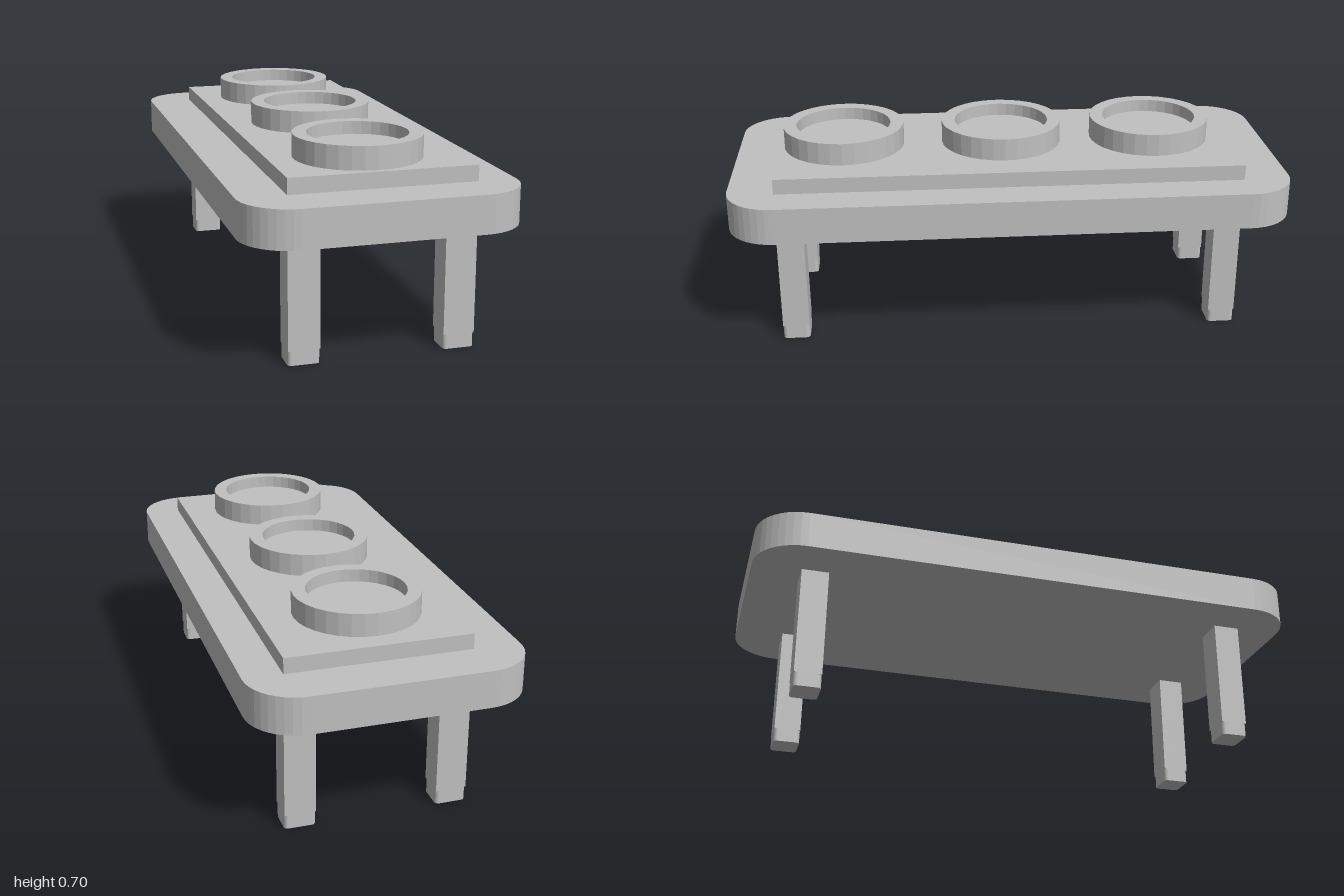
import * as THREE from 'three';

const grey = new THREE.MeshStandardMaterial({ color: 0xc0c0c0, flatShading: true });
grey.name = 'plain grey';

function add(parent, geometry, name, x, y, z) {
  const mesh = new THREE.Mesh(geometry, grey);
  mesh.name = name;
  mesh.position.set(x, y, z);
  parent.add(mesh);
  return mesh;
}

// Upright slab with rounded corners in plan, standing on y = 0
function roundedSlab(width, depth, height, r, segments) {
  const x = width / 2, z = depth / 2, q = Math.PI / 2;
  const shape = new THREE.Shape();
  shape.absarc(x - r, z - r, r, 0, q);
  shape.absarc(r - x, z - r, r, q, 2 * q);
  shape.absarc(r - x, r - z, r, 2 * q, 3 * q);
  shape.absarc(x - r, r - z, r, 3 * q, 4 * q);
  shape.closePath();
  return new THREE.ExtrudeGeometry(shape, { depth: height, bevelEnabled: false, curveSegments: segments })
    .rotateX(-Math.PI / 2);
}

export function createModel() {
  const model = new THREE.Group();
  model.name = 'table';

  // Rounded top and the raised panel, which sits slightly off centre
  add(model, roundedSlab(0.94, 2, 0.13, 0.17, 5), 'tableTop', 0, 0.44, 0);
  add(model, new THREE.BoxGeometry(0.642, 0.055, 1.666), 'raisedPanel', 0.016, 0.5975, 0.002);

  // Three round cups: wall, rim and recessed floor in one profile
  const profile = [[0.22, 0], [0.22, 0.08], [0.172, 0.08], [0.172, 0.035], [0, 0.035]]
    .map(([r, y]) => new THREE.Vector2(r, y));
  const cup = new THREE.LatheGeometry(profile, 32);
  [-0.538, 0.016, 0.597].forEach((z, i) => add(model, cup, 'cup' + (i + 1), 0, 0.625, z));

  // Four square legs, each ending in a foot with softened corners
  const post = new THREE.BoxGeometry(0.108, 0.392, 0.096);
  const foot = roundedSlab(0.108, 0.096, 0.052, 0.014, 3);
  for (const [side, x] of [['left', 0.283], ['right', -0.251]]) {
    for (const [end, z] of [['Front', 0.789], ['Back', -0.78]]) {
      const leg = new THREE.Group();
      leg.name = side + end + 'Leg';
      leg.position.set(x, 0, z);
      add(leg, post, 'post', 0, 0.246, 0);
      add(leg, foot, 'foot', 0, 0, 0);
      model.add(leg);
    }
  }
  return model;
}
